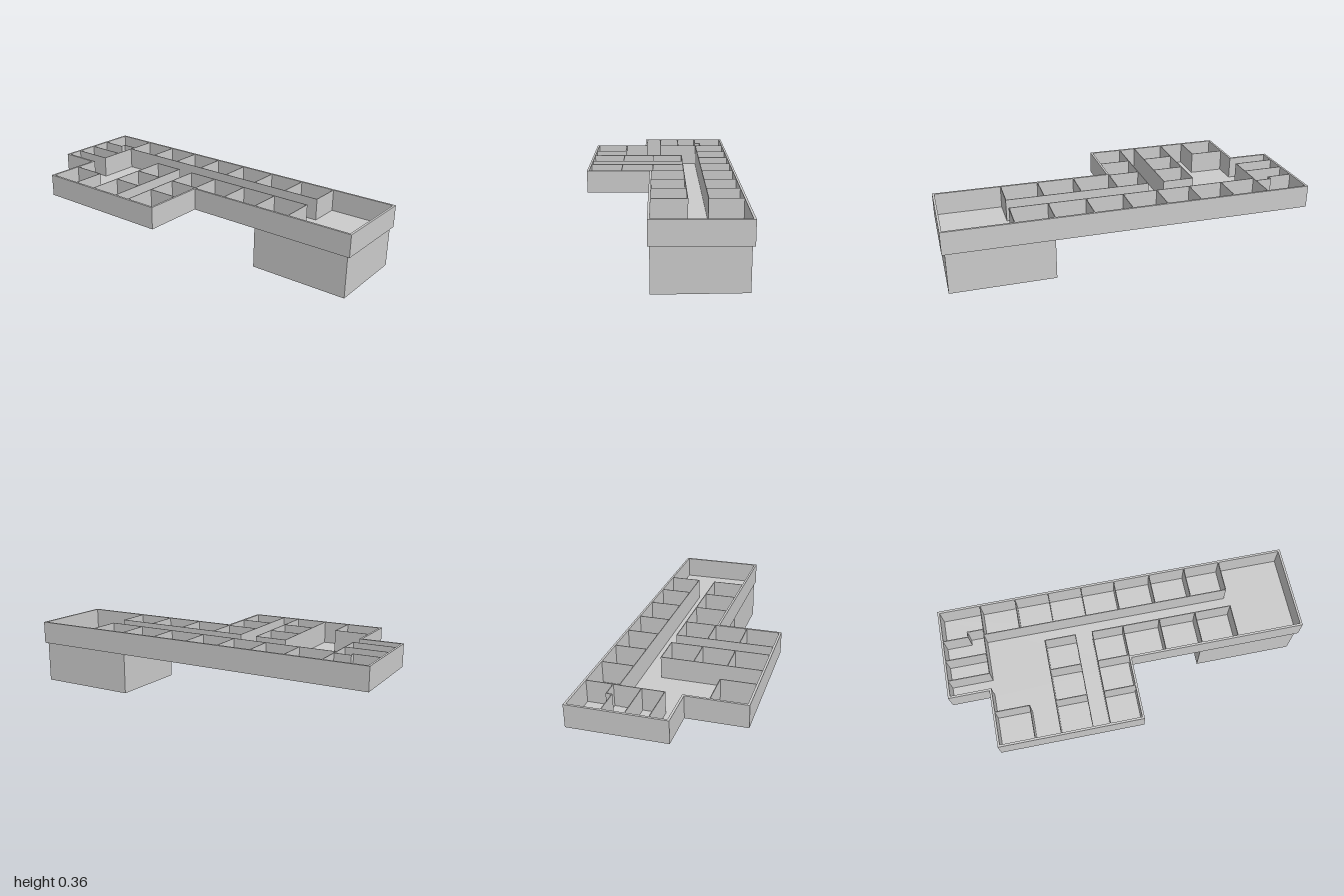
import * as THREE from 'three';

const BASE = 0.235, TOP = 0.36, FLOOR = 0.003, WALL = 0.012, THIN = 0.004;

// Plan outline (x, z), drawn inset by t from the outer faces
const plan = (t) => [
  [-1 + t, -0.42 + t], [1 - t, -0.42 + t], [1 - t, 0.065 - t], [0.02 - t, 0.065 - t],
  [0.02 - t, 0.42 - t], [-0.775 + t, 0.42 - t], [-0.775 + t, 0.1 - t], [-1 + t, 0.1 - t],
].map(([x, z]) => new THREE.Vector2(x, z));

export function createModel() {
  const model = new THREE.Group();
  model.name = 'building';
  const material = new THREE.MeshStandardMaterial({ color: 0xcccccc, flatShading: true });

  const add = (name, geometry, parent = model) => {
    const mesh = new THREE.Mesh(geometry, material);
    mesh.name = name;
    parent.add(mesh);
    return mesh;
  };
  // Extrude a plan shape downward from y = top
  const slab = (shape, top, height) =>
    new THREE.ExtrudeGeometry(shape, { depth: height, bevelEnabled: false })
      .rotateX(Math.PI / 2).translate(0, top, 0);

  // Floor and outer walls
  add('floor', slab(new THREE.Shape(plan(0)), BASE + FLOOR, FLOOR));
  const ring = new THREE.Shape(plan(0));
  ring.holes.push(new THREE.Path(plan(WALL)));
  add('outerWalls', slab(ring, TOP, TOP - BASE - FLOOR));

  // Lower storey, its underside rising slightly toward the back
  const lower = new THREE.BoxGeometry(0.56, BASE, 0.463).translate(0.705, BASE / 2, -0.1765);
  const p = lower.attributes.position;
  for (let i = 0; i < p.count; i++) {
    if (p.getY(i) < 0.01 && p.getZ(i) < -0.2) p.setY(i, 0.007);
  }
  lower.computeVertexNormals();
  add('lowerStorey', lower);

  // Thin inner walls along x or z
  const partitions = new THREE.Group();
  partitions.name = 'partitions';
  model.add(partitions);
  const h = TOP - BASE - FLOOR;
  const y = BASE + FLOOR + h / 2;
  const alongX = (name, z, x0, x1) =>
    add(name, new THREE.BoxGeometry(x1 - x0, h, THIN).translate((x0 + x1) / 2, y, z), partitions);
  const alongZ = (name, x, z0, z1) =>
    add(name, new THREE.BoxGeometry(THIN, h, z1 - z0).translate(x, y, (z0 + z1) / 2), partitions);

  // Back row of rooms
  alongX('backCorridorWall', -0.233, -0.762, 0.632);
  for (const x of [-0.76, -0.56, -0.37, -0.18, 0.012, 0.218, 0.424, 0.63]) {
    alongZ('backRoomDivider', x, -0.41, -0.231);
  }

  // Front row of rooms
  alongX('frontCorridorWall', -0.13, -0.165, 0.632);
  for (const x of [0.01, 0.218, 0.424, 0.63]) alongZ('frontRoomDivider', x, -0.13, 0.055);

  // Rooms on both sides of the wing passage
  for (const x of [-0.433, -0.26, -0.165]) alongZ('wingPassageWall', x, -0.132, 0.41);
  alongX('wingEndWall', -0.13, -0.433, -0.26);
  for (const z of [0.046, 0.225]) {
    alongX('wingRoomDivider', z, -0.433, -0.26);
    alongX('wingRoomDivider', z, -0.165, 0.01);
  }

  // Small rooms at the right end
  alongZ('endRoomWall', -0.762, -0.235, 0.002);
  alongX('endRoomDivider', -0.235, -0.99, -0.85);
  alongX('endRoomDivider', -0.118, -0.99, -0.762);
  alongX('endRoomDivider', 0, -0.99, -0.762);
  alongX('closetWall', -0.265, -0.852, -0.76);
  alongZ('closetWall', -0.85, -0.265, -0.233);

  // Corner room
  alongX('cornerRoomWall', 0.224, -0.765, -0.572);
  alongZ('cornerRoomWall', -0.574, 0.224, 0.41);

  return model;
}
